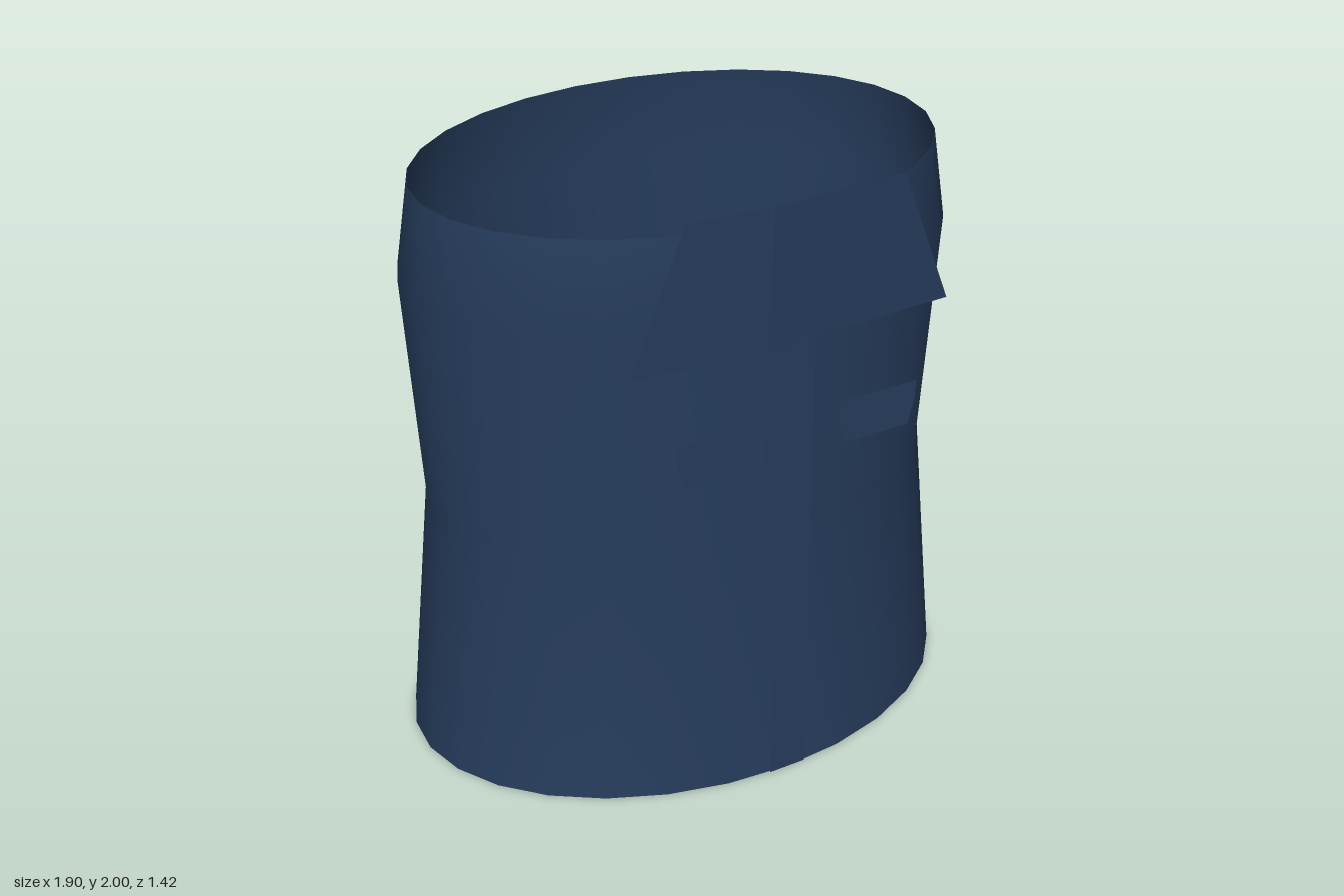
import * as THREE from 'three';

const navy = new THREE.MeshStandardMaterial({ color: 0x263c5c, side: THREE.DoubleSide });
navy.name = 'navy cloth';

// Flat cloth panel from outline points; slope tilts it in depth along x
function panel(name, points, z, slope = 0) {
  const geometry = new THREE.ShapeGeometry(new THREE.Shape(points.map(([x, y]) => new THREE.Vector2(x, y))));
  const pos = geometry.attributes.position;
  for (let i = 0; i < pos.count; i++) pos.setZ(i, z + slope * pos.getX(i));
  geometry.computeVertexNormals();
  const mesh = new THREE.Mesh(geometry, navy);
  mesh.name = name;
  return mesh;
}

export function createModel() {
  const group = new THREE.Group();
  group.name = 'vest';

  // Open oval body, pinched at the waist
  const profile = [[0.95, 0], [0.87, 0.86], [0.926, 1.62], [0.88, 1.925]];
  const body = new THREE.Mesh(
    new THREE.LatheGeometry(profile.map(([r, y]) => new THREE.Vector2(r, y)), 28), navy);
  body.name = 'body';
  body.scale.z = 0.735;
  body.position.z = -0.013;
  group.add(body);

  // Straight front placket
  group.add(panel('placket', [[-0.065, 0], [0.065, 0], [0.065, 1.56], [-0.065, 1.56]], 0.686));

  // Collar halves, the left one lapping over the right
  group.add(panel('collarLeft', [[-0.1, 1.545], [0.567, 1.545], [0.383, 2], [-0.1, 2]], 0.686, -0.04));
  group.add(panel('collarRight', [[-0.567, 1.545], [-0.1, 1.545], [-0.1, 2], [-0.383, 2]], 0.686, 0.04));

  // Chest pocket flaps, narrowing downwards
  const outline = [[-0.118, 1.165], [0.118, 1.165], [0.139, 1.235], [0.147, 1.3],
    [0.143, 1.312], [-0.143, 1.312], [-0.147, 1.3], [-0.139, 1.235]];
  for (const side of [1, -1]) {
    const flap = panel(side > 0 ? 'pocketFlapLeft' : 'pocketFlapRight', outline, 0.707);
    flap.position.x = side * 0.288;
    group.add(flap);
  }
  return group;
}
